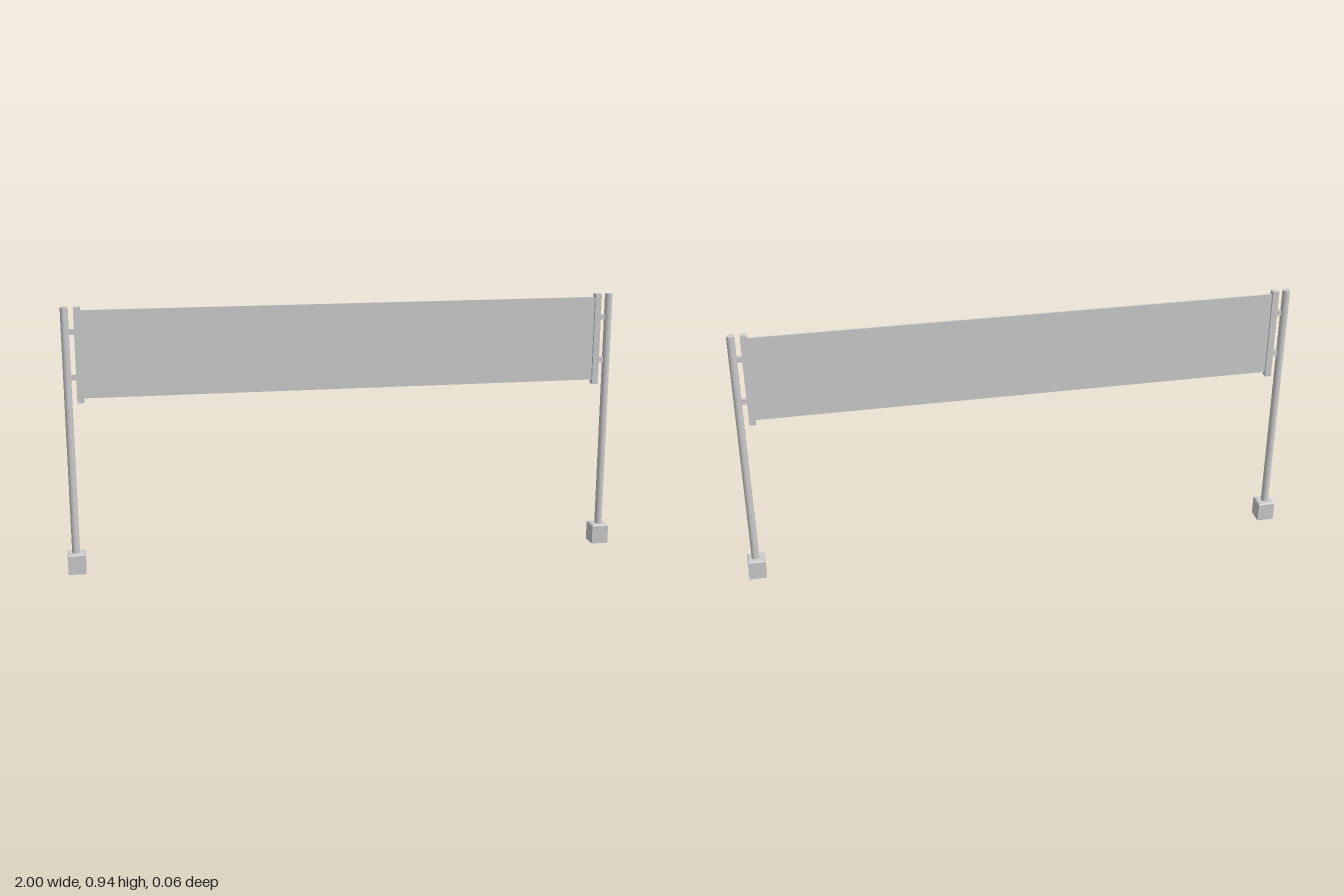
import * as THREE from 'three';

export function createModel() {
  const group = new THREE.Group();
  const mat = new THREE.MeshStandardMaterial({ color: 0xcccccc });

  function add(name, geometry, x, y, z = 0) {
    const mesh = new THREE.Mesh(geometry, mat);
    mesh.name = name;
    mesh.position.set(x, y, z);
    group.add(mesh);
  }

  // Square block with a small chamfer around its top edge
  function footGeometry(half, height, chamfer) {
    const profile = [[0, 0], [half, 0], [half, height - chamfer], [half - chamfer, height], [0, height]]
      .map(([r, y]) => new THREE.Vector2(r * Math.SQRT2, y));
    const g = new THREE.LatheGeometry(profile, 4).rotateY(Math.PI / 4).toNonIndexed();
    g.computeVertexNormals();
    return g;
  }

  // Thin banner stretched between the two side bars
  add('banner', new THREE.BoxGeometry(1.84, 0.305, 0.006), 0, 0.7805);

  for (const [side, s] of [['left', 1], ['right', -1]]) {
    // Ground block and upright pole
    add(side + 'Foot', footGeometry(0.031, 0.072, 0.004), s * 0.969, 0);
    add(side + 'Post', new THREE.CylinderGeometry(0.0135, 0.0135, 0.885, 16), s * 0.971, 0.5025);

    // Vertical bar holding the banner edge
    add(side + 'BannerBar', new THREE.BoxGeometry(0.023, 0.332, 0.023), s * 0.929, 0.779);

    // Short brackets joining bar and pole
    for (const [level, y] of [['Upper', 0.859], ['Lower', 0.702]]) {
      add(side + level + 'Bracket', new THREE.BoxGeometry(0.03, 0.019, 0.012), s * 0.95, y);
    }
  }
  return group;
}
